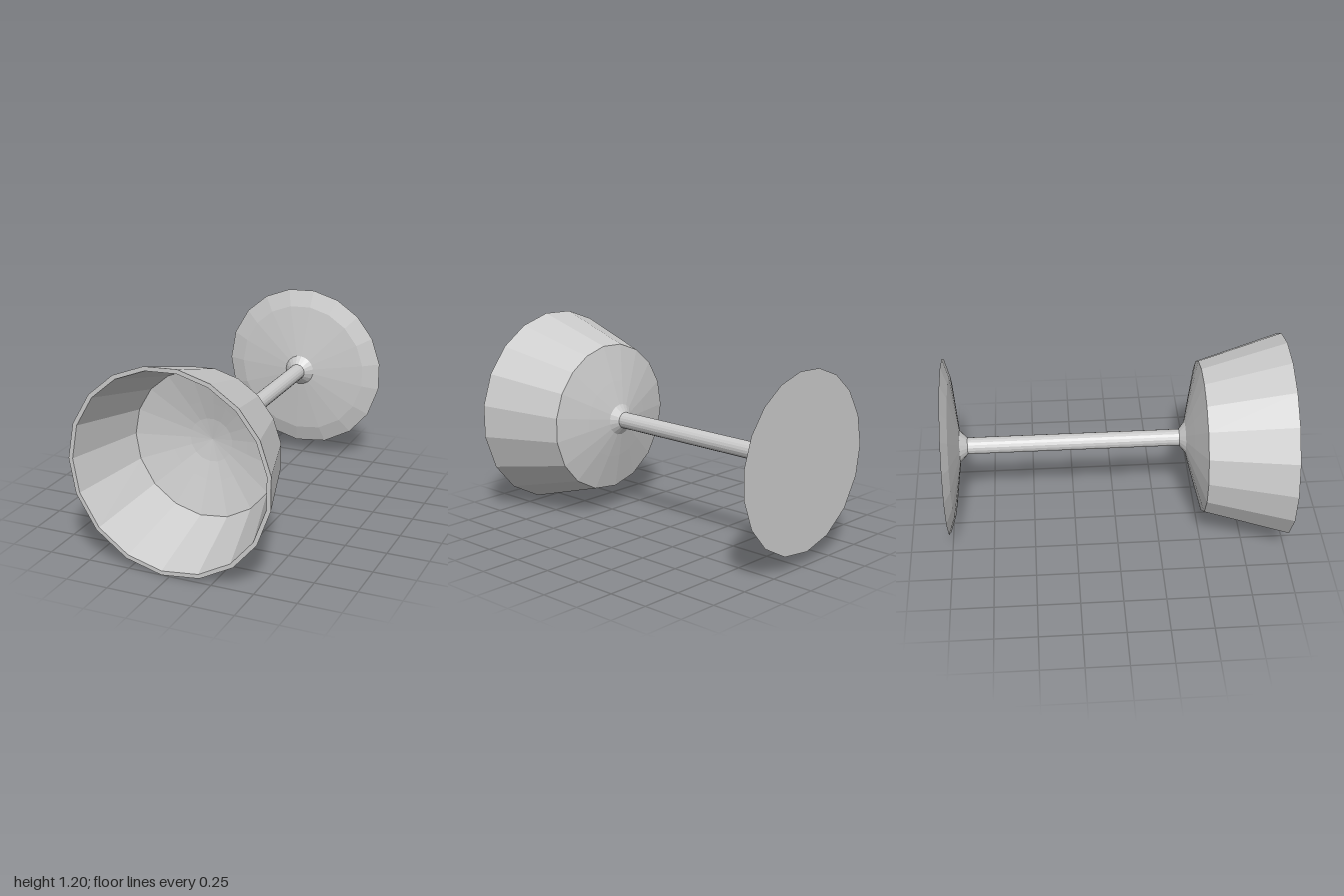
import * as THREE from 'three';

// Slightly uneven facet directions (degrees) shared by every ring
const ANGLES = [9, 28, 46.5, 65, 83.5, 102, 121, 140, 160, 180, 200, 222, 244, 265.3, 287.4, 309, 329, 350.2];
const AXIS_Y = 0.604;

// Turned part along z: profile holds [radius, z] pairs
function turned(name, profile, material) {
  const n = ANGLES.length;
  const points = profile.map(([r, z]) => new THREE.Vector2(r, z));
  const geometry = new THREE.LatheGeometry(points, n);
  const pos = geometry.attributes.position;
  for (let i = 0; i <= n; i++) {
    const a = THREE.MathUtils.degToRad(ANGLES[i % n]);
    profile.forEach(([r, z], j) => {
      pos.setXYZ(i * profile.length + j, r * Math.cos(a), r * Math.sin(a), z);
    });
  }
  geometry.computeVertexNormals();
  const mesh = new THREE.Mesh(geometry, material);
  mesh.name = name;
  mesh.position.y = AXIS_Y;
  return mesh;
}

export function createModel() {
  const group = new THREE.Group();
  group.name = 'goblet';
  const material = new THREE.MeshStandardMaterial({ color: 0xcccccc, flatShading: true });

  // Flat-bottomed foot rising to a small collar
  group.add(turned('foot', [[0, -1], [0.525, -1], [0.42, -0.965], [0.095, -0.92], [0.05, -0.875]], material));

  // Slender stem
  group.add(turned('stem', [[0.05, -0.875], [0.05, 0.38]], material));

  // Hollow bowl: outside, flat rim, then inside down to the floor
  group.add(turned('bowl', [
    [0.05, 0.38], [0.095, 0.415], [0.24, 0.45], [0.455, 0.505], [0.604, 1],
    [0.579, 1], [0.44, 0.525], [0.235, 0.473], [0.13, 0.447], [0, 0.43],
  ], material));

  return group;
}
